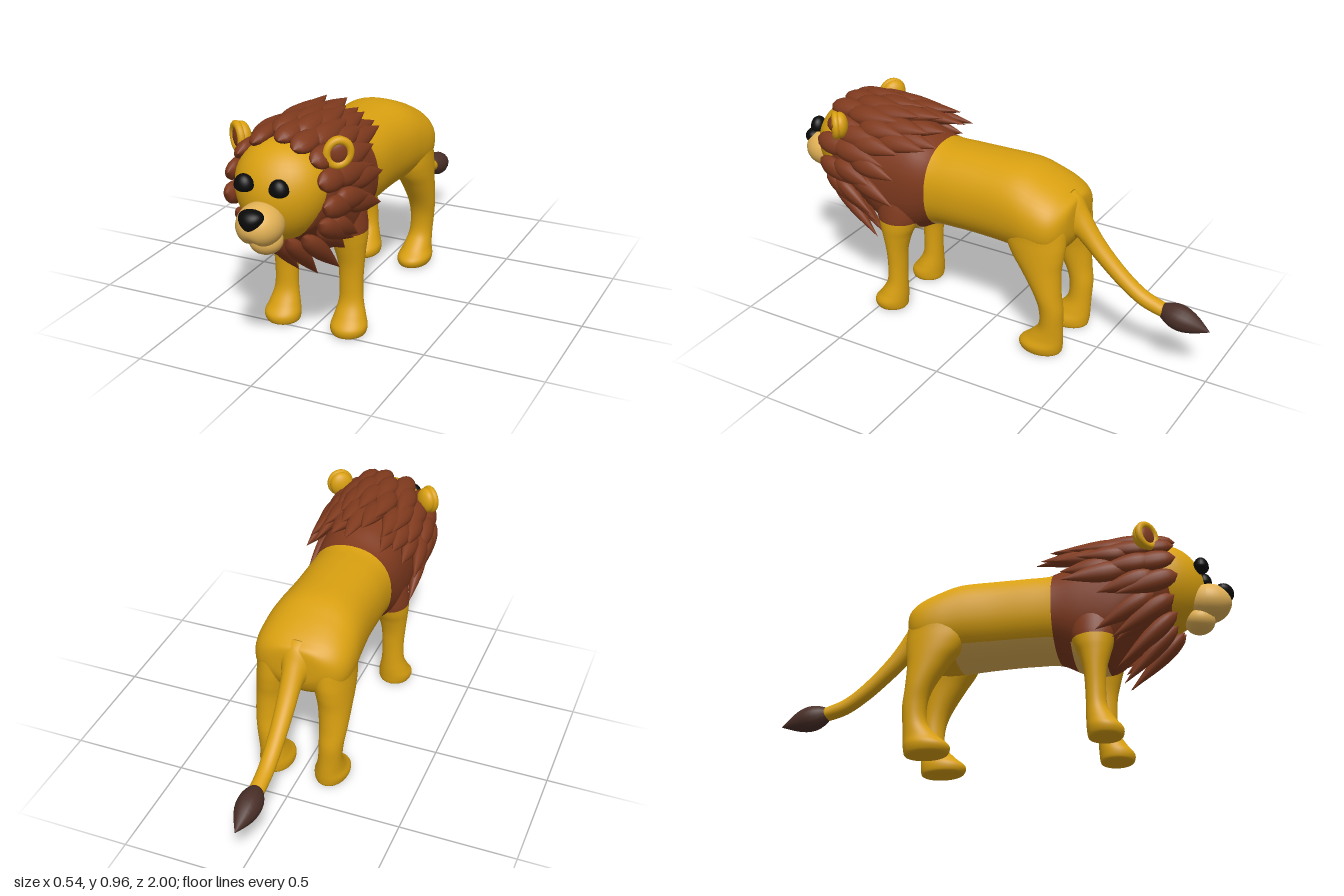
import * as THREE from 'three';

const mat = (color) => new THREE.MeshStandardMaterial({ color, roughness: 0.8 });
const gold = mat(0xd9a010), brown = mat(0x7f3a1e), tan = mat(0xe3b256);
const black = mat(0x0a0a0a), dark = mat(0x4a2f28);

const SIDES = 40, STEPS = 6;

// Smoothly resample rows of numbers (Catmull-Rom on each column).
function resample(rows) {
  const out = [];
  const at = (i) => rows[Math.max(0, Math.min(rows.length - 1, i))];
  for (let i = 0; i < rows.length - 1; i++) {
    for (let k = 0; k < STEPS; k++) {
      const t = k / STEPS;
      out.push(rows[i].map((b, c) => {
        const a = at(i - 1)[c], d = at(i + 1)[c], e = at(i + 2)[c];
        return b + 0.5 * t * (d - a + t * (2 * a - 5 * b + 4 * d - e + t * (3 * (b - d) + e - a)));
      }));
    }
  }
  out.push(at(rows.length - 1));
  return out;
}

// Skin rings of points; pick(point, angle) chooses the material of each face,
// and all pieces share the same smooth normals.
function loft(name, rows, point, pick) {
  const rings = resample(rows), pos = [], faces = new Map();
  const angle = (j) => (j / SIDES) * Math.PI * 2;
  for (const r of rings) for (let j = 0; j < SIDES; j++) pos.push(...point(r, angle(j)));
  const last = (rings.length - 1) * SIDES;
  for (const base of [0, last]) {
    const c = [0, 0, 0];
    for (let j = 0; j < SIDES; j++) for (let k = 0; k < 3; k++) c[k] += pos[(base + j) * 3 + k] / SIDES;
    pos.push(...c);
  }
  const add = (i, j, ...idx) => {
    const m = pick(point(rings[i], angle(j + 0.5)), angle(j + 0.5));
    if (!faces.has(m)) faces.set(m, []);
    faces.get(m).push(...idx);
  };
  for (let j = 0; j < SIDES; j++) {
    const n = (j + 1) % SIDES;
    for (let i = 0; i < rings.length - 1; i++) {
      const a = i * SIDES + j, b = i * SIDES + n;
      add(i, j, a, b, a + SIDES, b, b + SIDES, a + SIDES);
    }
    add(0, j, last + SIDES, n, j);
    add(rings.length - 1, j, last + SIDES + 1, last + j, last + n);
  }
  const whole = new THREE.BufferGeometry();
  whole.setAttribute('position', new THREE.Float32BufferAttribute(pos, 3));
  whole.setIndex([...faces.values()].flat());
  whole.computeVertexNormals();
  const group = new THREE.Group();
  group.name = name;
  for (const [m, idx] of faces) {
    const g = new THREE.BufferGeometry();
    g.setAttribute('position', whole.attributes.position);
    g.setAttribute('normal', whole.attributes.normal);
    g.setIndex(idx);
    const piece = new THREE.Mesh(g, m);
    piece.name = name + 'Skin';
    group.add(piece);
  }
  return group;
}

// Slightly squared oval in an upright plane: [z, centreY, radiusX, radiusY]
const squared = (v) => Math.sign(v) * Math.abs(v) ** 0.9;
const bodyPoint = ([z, y, rx, ry], t) => [rx * squared(Math.cos(t)), y + ry * squared(Math.sin(t)), z];
const tailPoint = ([z, y, rx, ry], t) => [rx * Math.cos(t), y + ry * Math.sin(t), z];
// Oval in a level plane: [y, centreX, centreZ, radiusX, radiusZ]
const legPoint = (s) => ([y, x, z, rx, rz], t) => [s * x + rx * Math.cos(t), y, z - rz * Math.sin(t)];

// Ellipsoid, optionally reshaped by a rule on its unit-sphere vertices.
function blob(name, m, p, r, rule) {
  const g = new THREE.SphereGeometry(1, 32, 24), a = g.attributes.position;
  const v = new THREE.Vector3();
  for (let i = 0; rule && i < a.count; i++) {
    rule(v.fromBufferAttribute(a, i));
    a.setXYZ(i, v.x, v.y, v.z);
  }
  g.scale(...r);
  if (rule) g.computeVertexNormals();
  const mesh = new THREE.Mesh(g, m);
  mesh.name = name;
  mesh.position.set(...p);
  return mesh;
}

// Leaf-shaped lock of hair, blunt at the root and pointed at the tip.
function leaf(power) {
  const pts = [];
  for (let i = 0; i <= 12; i++) {
    const t = i / 12;
    pts.push(new THREE.Vector2(Math.max(0, Math.sin(Math.PI * t ** power)), t));
  }
  return new THREE.LatheGeometry(pts, 14);
}
function lock(name, geo, m, start, along, out, size) {
  const y = along.clone().normalize();
  const z = out.clone().addScaledVector(y, -out.dot(y)).normalize();
  const x = new THREE.Vector3().crossVectors(y, z);
  const mesh = new THREE.Mesh(geo, m);
  mesh.name = name;
  mesh.quaternion.setFromRotationMatrix(new THREE.Matrix4().makeBasis(x, y, z));
  mesh.position.copy(start);
  mesh.scale.set(...size);
  return mesh;
}

function buildMane() {
  const mane = new THREE.Group(), geo = leaf(0.62);
  mane.name = 'mane';
  let seed = 7;
  const rand = () => (seed = (seed * 16807) % 2147483647) / 2147483647;
  // Each ring: z, radiusX, radiusY, centreY, number of locks
  const rings = [[0.79, 0.205, 0.208, 0.7, 15], [0.71, 0.215, 0.218, 0.7, 17], [0.62, 0.217, 0.225, 0.69, 18],
    [0.53, 0.21, 0.235, 0.67, 18], [0.46, 0.2, 0.215, 0.66, 18]];
  rings.forEach(([z, rx, ry, cy, n], k) => {
    for (let i = 0; i < n; i++) {
      const a = Math.PI / 2 + ((i + (k % 2) / 2 + 0.3 * (rand() - 0.5)) / n) * Math.PI * 2;
      const c = Math.cos(a), s = Math.sin(a), low = Math.max(0, -s);
      const start = new THREE.Vector3(rx * c, cy + ry * s * (1 - 0.15 * low), z - 0.03 * rand());
      const dy = s > 0 ? -0.2 + 0.3 * s : -0.2 - 0.85 * low;
      const along = new THREE.Vector3((0.09 + 0.1 * rand()) * c, dy, -1).normalize();
      const len = 0.23 + 0.07 * rand() + (k === 0 ? 0.09 * low : 0);
      const tip = start.clone().addScaledVector(along, len);
      // Locks stop along a line sloping from the withers to the chest
      if (tip.z < 0.215 + (0.8 - tip.y) * 0.55) continue;
      mane.add(lock('maneLock', geo, brown, start, along, new THREE.Vector3(c, s, 0),
        [0.047 - 0.01 * low, len, 0.032]));
    }
  });
  // Long locks at the nape
  for (const [x, y, z, len] of [[0, 0.915, 0.46, 0.31], [0.13, 0.85, 0.45, 0.25], [-0.13, 0.85, 0.45, 0.25]]) {
    mane.add(lock('napeLock', geo, brown, new THREE.Vector3(x, y, z), new THREE.Vector3(x * 0.5, -0.05, -1),
      new THREE.Vector3(x, 0.12, 0), [0.042, len, 0.026]));
  }
  return mane;
}

export function createModel() {
  const lion = new THREE.Group();
  lion.name = 'lion';

  // Trunk: golden back, pale belly, brown chest under the mane
  lion.add(loft('body', [
    [-0.4, 0.62, 0.05, 0.05], [-0.392, 0.615, 0.12, 0.085], [-0.365, 0.6, 0.175, 0.12], [-0.32, 0.597, 0.204, 0.15],
    [-0.25, 0.605, 0.212, 0.173], [-0.15, 0.623, 0.204, 0.186], [0, 0.625, 0.19, 0.187], [0.13, 0.623, 0.187, 0.187],
    [0.25, 0.618, 0.187, 0.193], [0.36, 0.61, 0.198, 0.24], [0.48, 0.615, 0.205, 0.255], [0.58, 0.66, 0.205, 0.225],
    [0.68, 0.7, 0.2, 0.2], [0.75, 0.7, 0.165, 0.175], [0.77, 0.7, 0.1, 0.1],
  ], bodyPoint, ([, , z], t) => {
    const under = Math.abs(t - Math.PI * 1.5) < 0.75;
    if (under && ((z > -0.2 && z < 0.235) || (z > 0.32 && z < 0.45))) return tan;
    return z < 0.249 ? gold : brown;
  }));

  // Legs with rounded paws, tapering into the trunk at the top
  const hind = [
    [0, 0.125, -0.3, 0.05, 0.07], [0.008, 0.125, -0.295, 0.068, 0.092], [0.04, 0.128, -0.295, 0.075, 0.098],
    [0.08, 0.13, -0.318, 0.062, 0.077], [0.14, 0.135, -0.343, 0.052, 0.053], [0.22, 0.14, -0.346, 0.053, 0.052],
    [0.3, 0.143, -0.328, 0.06, 0.06], [0.4, 0.138, -0.293, 0.071, 0.09], [0.47, 0.13, -0.27, 0.081, 0.12],
    [0.54, 0.12, -0.258, 0.089, 0.135], [0.64, 0.105, -0.26, 0.095, 0.12], [0.71, 0.09, -0.26, 0.05, 0.06],
  ];
  const fore = [
    [0, 0.15, 0.455, 0.05, 0.055], [0.008, 0.15, 0.458, 0.07, 0.07], [0.04, 0.152, 0.458, 0.077, 0.074],
    [0.08, 0.15, 0.442, 0.066, 0.06], [0.14, 0.148, 0.426, 0.052, 0.044], [0.22, 0.147, 0.423, 0.05, 0.042],
    [0.3, 0.147, 0.423, 0.055, 0.047], [0.37, 0.142, 0.423, 0.066, 0.064], [0.42, 0.136, 0.42, 0.076, 0.082],
    [0.48, 0.125, 0.42, 0.084, 0.1], [0.56, 0.105, 0.42, 0.085, 0.1], [0.64, 0.09, 0.42, 0.05, 0.06],
  ];
  for (const [s, side] of [[1, 'left'], [-1, 'right']]) {
    lion.add(loft(side + 'HindLeg', hind, legPoint(s), () => gold));
    lion.add(loft(side + 'FrontLeg', fore, legPoint(s), ([, y]) => (y > 0.445 ? brown : gold)));
  }

  // Tail flaring into the rump, and its dark tuft
  lion.add(loft('tail', [
    [-0.8, 0.283, 0.033, 0.03], [-0.7, 0.315, 0.034, 0.036], [-0.6, 0.385, 0.036, 0.044], [-0.5, 0.48, 0.04, 0.055],
    [-0.43, 0.565, 0.045, 0.075], [-0.395, 0.61, 0.06, 0.09], [-0.36, 0.62, 0.1, 0.105],
  ], tailPoint, () => gold));
  lion.add(lock('tailTuft', leaf(0.85), dark, new THREE.Vector3(0, 0.293, -0.755),
    new THREE.Vector3(0, -0.05, -0.245), new THREE.Vector3(0, 1, 0), [0.053, 0.25, 0.056]));

  // Head, broader at the brow; muzzle with a cleft upper lip
  lion.add(blob('face', gold, [0, 0.7, 0.7], [0.188, 0.2, 0.18], (v) => { v.x *= 1 + 0.14 * v.y; }));
  lion.add(blob('muzzle', tan, [0, 0.622, 0.89], [0.091, 0.086, 0.098], (v) => {
    if (v.y < 0) v.y *= 0.95 - 0.2 * Math.exp(-((v.x * 4) ** 2));
  }));
  lion.add(blob('chin', tan, [0, 0.545, 0.85], [0.066, 0.055, 0.064]));
  lion.add(blob('nose', black, [0, 0.661, 0.955], [0.047, 0.043, 0.045], (v) => { v.x *= 1 + 0.35 * v.y; }));

  for (const s of [1, -1]) {
    lion.add(blob('eye', black, [s * 0.073, 0.76, 0.875], [0.039, 0.045, 0.033],
      (v) => { if (v.y < 0) v.y *= 0.55; }));

    // Cupped ear: back shell, rolled rim and brown hollow
    const ear = new THREE.Group();
    ear.name = s > 0 ? 'leftEar' : 'rightEar';
    ear.add(blob('earBack', gold, [0, 0, -0.008], [0.053, 0.06, 0.034]));
    const rim = new THREE.Mesh(new THREE.TorusGeometry(0.045, 0.015, 14, 36), gold);
    rim.name = 'earRim';
    rim.scale.set(1, 1.08, 1);
    rim.position.z = 0.012;
    ear.add(rim);
    ear.add(blob('earHollow', brown, [0, 0, 0.014], [0.036, 0.04, 0.013]));
    ear.position.set(s * 0.207, 0.863, 0.662);
    ear.rotation.set(0, s * 0.7, -s * 0.35);
    lion.add(ear);
  }

  lion.add(buildMane());
  return lion;
}
